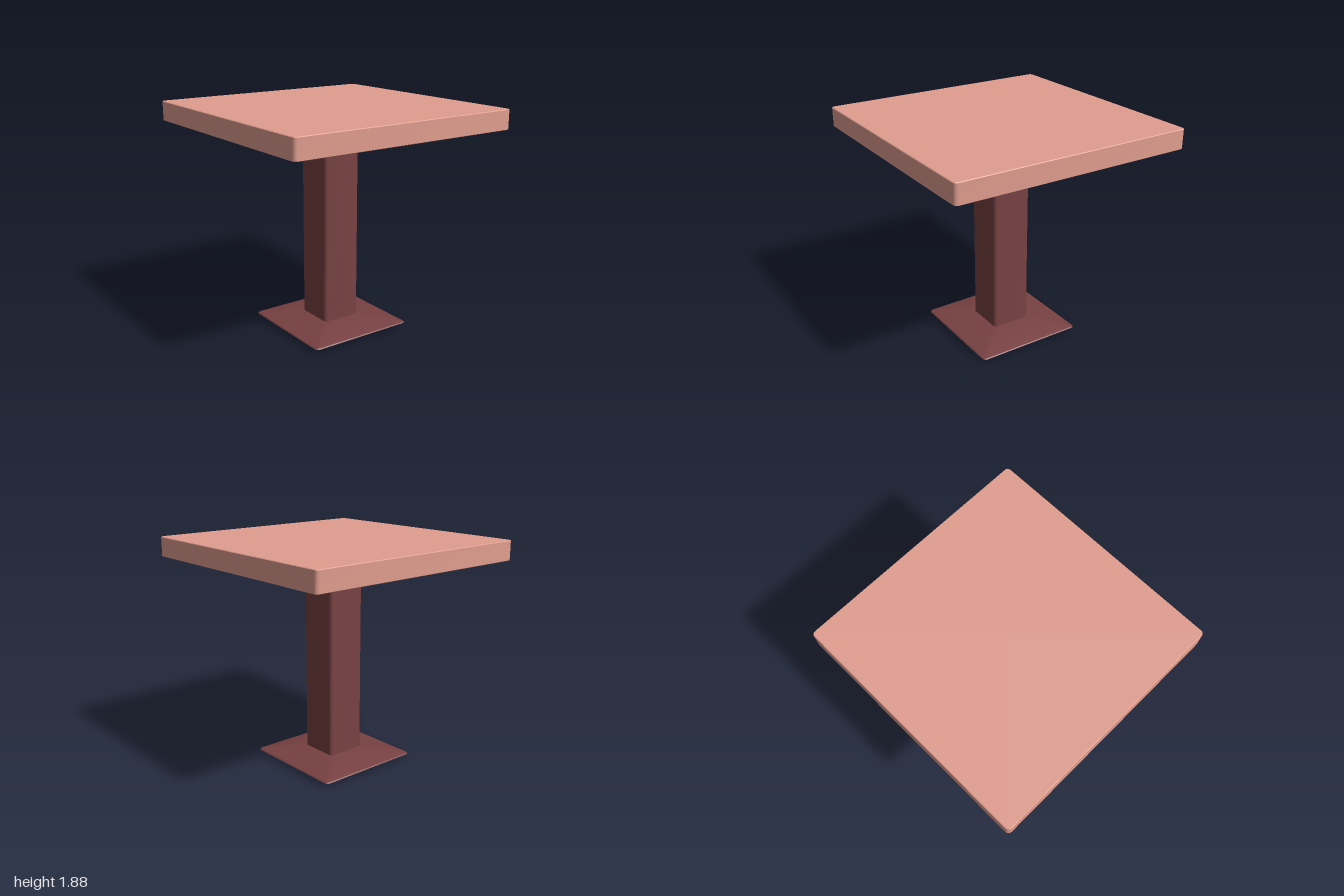
import * as THREE from 'three';
import { toCreasedNormals } from 'three/addons/utils/BufferGeometryUtils.js';

const CORNER_STEPS = 4;

// Outline of a square with rounded corners, as [x, z] pairs
function roundedSquare(half, radius) {
  const points = [];
  for (let corner = 0; corner < 4; corner++) {
    const mid = (corner + 0.5) * Math.PI / 2;
    const cx = Math.sign(Math.cos(mid)) * (half - radius);
    const cz = Math.sign(Math.sin(mid)) * (half - radius);
    for (let s = 0; s <= CORNER_STEPS; s++) {
      const a = (corner + s / CORNER_STEPS) * Math.PI / 2;
      points.push([cx + radius * Math.cos(a), cz + radius * Math.sin(a)]);
    }
  }
  return points;
}

// Closed solid through rounded squares, sections are [y, half width, corner radius]
function loft(name, sections, material) {
  const positions = [];
  const index = [];
  const n = 4 * (CORNER_STEPS + 1);
  for (const [y, half, radius] of sections) {
    for (const [x, z] of roundedSquare(half, radius)) positions.push(x, y, z);
  }
  const last = (sections.length - 1) * n;
  const bottom = positions.length / 3;
  positions.push(0, sections[0][0], 0, 0, sections[sections.length - 1][0], 0);
  for (let i = 0; i < n; i++) {
    const j = (i + 1) % n;
    for (let r = 0; r < last; r += n) {
      index.push(r + i, r + n + i, r + j, r + j, r + n + i, r + n + j);
    }
    index.push(bottom, i, j, bottom + 1, last + j, last + i);
  }
  const geometry = new THREE.BufferGeometry();
  geometry.setAttribute('position', new THREE.Float32BufferAttribute(positions, 3));
  geometry.setIndex(index);
  const mesh = new THREE.Mesh(toCreasedNormals(geometry, Math.PI / 6), material);
  mesh.name = name;
  return mesh;
}

export function createModel() {
  const group = new THREE.Group();
  group.name = 'pedestalTable';
  const light = new THREE.MeshStandardMaterial({ color: 0xe09d8e });
  const dark = new THREE.MeshStandardMaterial({ color: 0x784142 });

  // Square slab with slightly rounded corners
  group.add(loft('tableTop', [
    [1.715, 0.993, 0.025], [1.72, 1, 0.03], [1.873, 1, 0.03], [1.878, 0.995, 0.026],
  ], light));

  // Square column
  group.add(loft('column', [[0.08, 0.168, 0.03], [1.72, 0.168, 0.03]], dark));

  // Shallow flared foot with a thin rim
  group.add(loft('base', [
    [0, 0.18, 0.03], [0.028, 0.453, 0.03], [0.034, 0.462, 0.035],
    [0.042, 0.455, 0.03], [0.066, 0.36, 0.03], [0.094, 0.168, 0.03],
  ], dark));

  return group;
}
